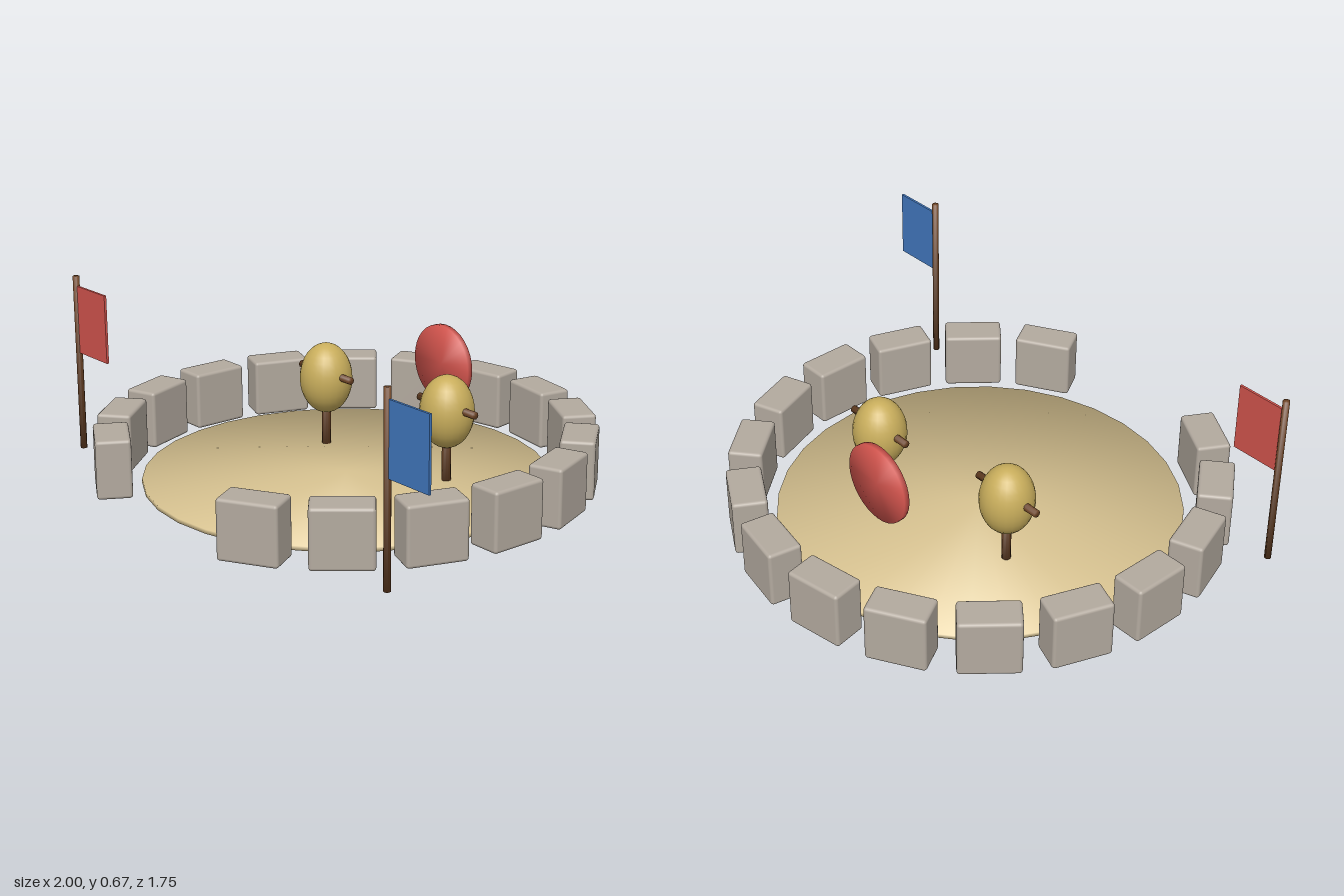
import * as THREE from 'three';
import { RoundedBoxGeometry } from 'three/addons/geometries/RoundedBoxGeometry.js';

const material = (name, color) => {
  const m = new THREE.MeshStandardMaterial({ color });
  m.name = name;
  return m;
};

// Cylinder whose normals blend softly over the rim
function softCylinder(r, h, sides) {
  const g = new THREE.CylinderGeometry(r, r, h, sides);
  const p = g.attributes.position, n = new THREE.Vector3();
  for (let i = 0; i < p.count; i++) {
    n.set(p.getX(i) / r, Math.sign(p.getY(i)), p.getZ(i) / r).normalize();
    g.attributes.normal.setXYZ(i, n.x, n.y, n.z);
  }
  return g;
}

export function createModel() {
  const sand = material('sand', 0xd9c492);
  const stone = material('stone', 0xb3aa9f);
  const wood = material('wood', 0x6f4526);
  const straw = material('straw', 0xc9ae5c);
  const red = material('red', 0xd2544d);
  const blue = material('blue', 0x4177bd);

  const model = new THREE.Group();
  model.name = 'trainingArena';
  const add = (parent, name, geometry, mat, x, y, z) => {
    const mesh = new THREE.Mesh(geometry, mat);
    mesh.name = name;
    mesh.position.set(x, y, z);
    parent.add(mesh);
    return mesh;
  };

  // Arena floor
  const cx = -0.095, cz = 0.03;
  add(model, 'floor', softCylinder(0.743, 0.016, 32), sand, cx, 0.012, cz);

  // Ring of stone blocks with an entrance gap at the front
  const ring = new THREE.Group();
  ring.name = 'stoneRing';
  model.add(ring);
  const block = new RoundedBoxGeometry(0.127, 0.218, 0.219, 2, 0.012);
  for (let i = 0; i < 18; i++) {
    if (i === 4 || i === 5) continue;
    const a = i * Math.PI / 9;
    const b = add(ring, 'stoneBlock', block, stone,
      cx + 0.845 * Math.cos(a), 0.113, cz + 0.845 * Math.sin(a));
    b.rotation.y = -a;
  }

  // Straw training dummies
  for (const [x, z] of [[-0.393, -0.115], [0.205, -0.19]]) {
    const dummy = new THREE.Group();
    dummy.name = 'dummy';
    dummy.position.set(x, 0, z);
    model.add(dummy);
    add(dummy, 'post', softCylinder(0.017, 0.26, 10), wood, 0, 0.13, 0);
    const body = new THREE.SphereGeometry(0.1, 24, 16).scale(1, 1.35, 1);
    add(dummy, 'body', body, straw, 0, 0.28, 0);
    add(dummy, 'arms', softCylinder(0.014, 0.298, 10), wood, 0, 0.3, 0).rotation.z = Math.PI / 2;
  }

  // Round target facing the entrance
  add(model, 'target', softCylinder(0.149, 0.022, 32), red, cx, 0.342, -0.44).rotation.x = Math.PI / 2;

  // Flags beside the arena
  for (const [x, mat] of [[-0.988, red], [0.802, blue]]) {
    const flag = new THREE.Group();
    flag.name = 'flag';
    flag.position.set(x, 0, 0.596);
    model.add(flag);
    add(flag, 'pole', softCylinder(0.0125, 0.674, 12), wood, 0, 0.337, 0);
    add(flag, 'cloth', new THREE.BoxGeometry(0.19, 0.258, 0.009), mat, 0.103, 0.508, 0);
  }
  return model;
}
